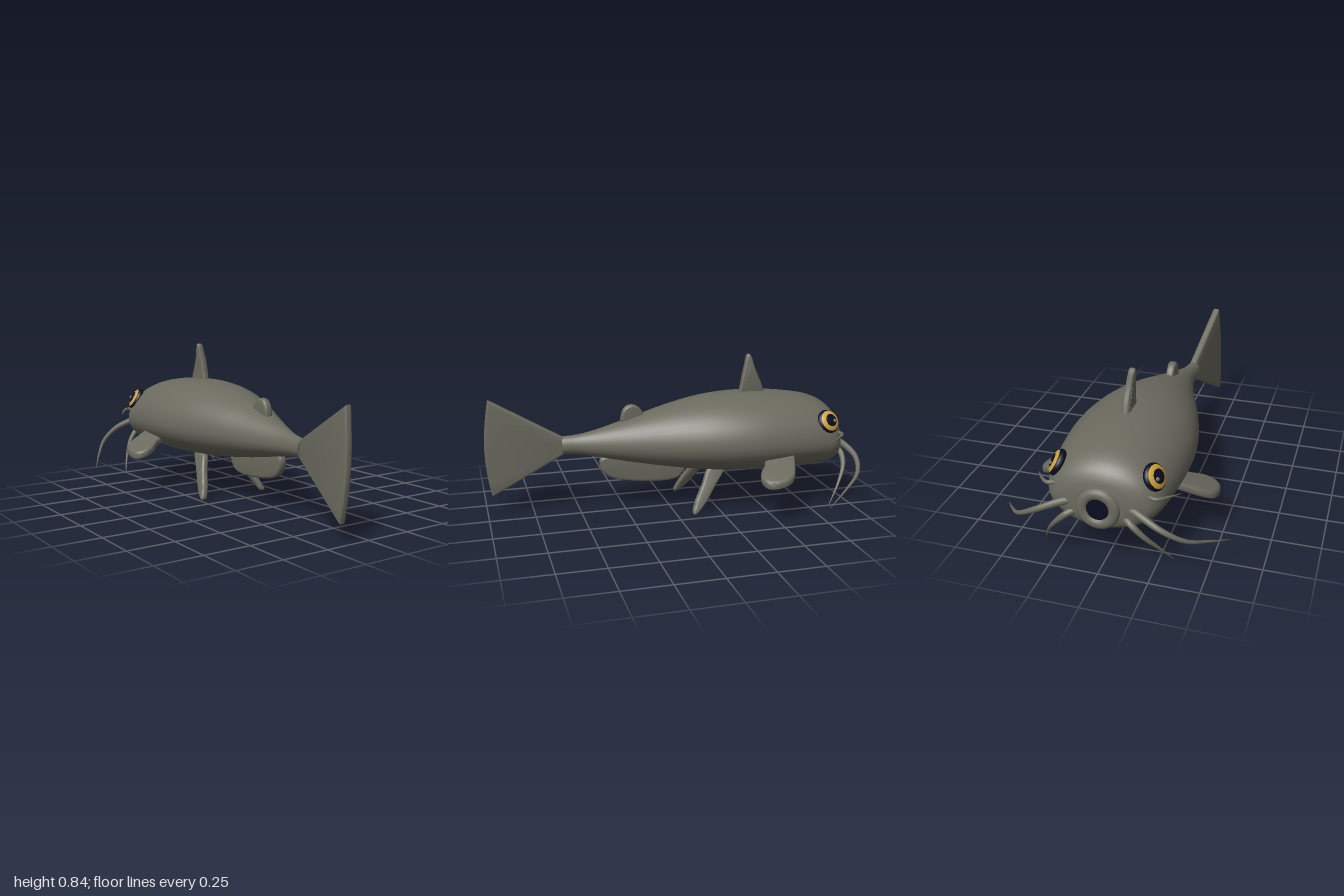
import * as THREE from 'three';
import { toCreasedNormals } from 'three/addons/utils/BufferGeometryUtils.js';

const skin = new THREE.MeshStandardMaterial({ name: 'skin', color: 0x6b6a5f });
const gold = new THREE.MeshStandardMaterial({ name: 'iris gold', color: 0xcba23a });
const dark = new THREE.MeshStandardMaterial({ name: 'pupil dark', color: 0x0c0c22 });

function part(name, geometry, material = skin) {
  const mesh = new THREE.Mesh(geometry, material);
  mesh.name = name;
  return mesh;
}

// Move every vertex of a geometry by a rule
function warp(geometry, rule) {
  const p = geometry.attributes.position, v = new THREE.Vector3();
  for (let i = 0; i < p.count; i++) {
    rule(v.fromBufferAttribute(p, i), i);
    p.setXYZ(i, v.x, v.y, v.z);
  }
  return geometry;
}

// Rounded slab cut to an outline; 'side' lies in the z-y plane, 'flat' in x-z
function fin(name, outline, { plane = 'side', smooth = true, thick = 0.04, rule }) {
  let pts = outline.map(([a, b]) => new THREE.Vector3(a, b, 0));
  if (smooth) pts = new THREE.CatmullRomCurve3(pts, true).getPoints(36).slice(0, -1);
  const bevel = thick * 0.3;
  const g = new THREE.ExtrudeGeometry(new THREE.Shape(pts.map(p => new THREE.Vector2(p.x, p.y))), {
    depth: thick - 2 * bevel, bevelEnabled: true, bevelThickness: bevel,
    bevelSize: bevel, bevelOffset: -bevel, bevelSegments: 3,
  });
  g.translate(0, 0, bevel - thick / 2);
  if (plane === 'side') g.rotateY(-Math.PI / 2);
  else g.rotateX(Math.PI / 2);
  return part(name, toCreasedNormals(warp(g, rule), 0.7));
}

// Body lofted through [z, centre x, half width, top, bottom]
function bodyGeometry() {
  const stations = [
    [-0.962, 0, 0.13, 0.46, 0.285], [-0.95, 0, 0.185, 0.505, 0.257], [-0.925, 0, 0.24, 0.545, 0.235],
    [-0.88, 0, 0.277, 0.58, 0.22], [-0.8, 0, 0.298, 0.61, 0.213], [-0.6, -0.002, 0.321, 0.64, 0.21],
    [-0.4, -0.003, 0.322, 0.647, 0.213], [-0.2, -0.006, 0.287, 0.632, 0.224], [0, -0.013, 0.222, 0.59, 0.248],
    [0.2, -0.026, 0.142, 0.53, 0.28], [0.4, -0.042, 0.07, 0.47, 0.318],
    [0.5, -0.054, 0.047, 0.447, 0.335], [0.59, -0.066, 0.04, 0.438, 0.342],
  ];
  const along = new THREE.CatmullRomCurve3(stations.map(s => new THREE.Vector3(s[0], s[1], s[2])));
  const height = new THREE.CatmullRomCurve3(stations.map(s => new THREE.Vector3(s[0], s[3], s[4])));
  const rings = 60, sides = 40, pos = [], idx = [];
  const addRing = t => {
    const a = along.getPoint(t), h = height.getPoint(t);
    const cy = h.z + 0.44 * (h.y - h.z);
    for (let j = 0; j < sides; j++) {
      const u = j / sides * Math.PI * 2, s = Math.sin(u);
      pos.push(a.y + a.z * Math.cos(u), cy + s * (s > 0 ? h.y - cy : cy - h.z), a.x);
    }
    return [a.y, cy, a.x];
  };
  for (let i = 0; i <= rings; i++) addRing(i / rings);
  for (let i = 0; i < rings; i++) for (let j = 0; j < sides; j++) {
    const a = i * sides + j, b = i * sides + (j + 1) % sides;
    idx.push(a, b, a + sides, b, b + sides, a + sides);
  }
  // Flat caps at the snout and tail root
  for (const end of [0, 1]) {
    const start = pos.length / 3;
    pos.push(...addRing(end));
    for (let j = 0; j < sides; j++) {
      const a = start + j, b = start + (j + 1) % sides, c = start + sides;
      idx.push(...(end ? [a, b, c] : [b, a, c]));
    }
  }
  const g = new THREE.BufferGeometry();
  g.setAttribute('position', new THREE.Float32BufferAttribute(pos, 3));
  g.setIndex(idx);
  g.computeVertexNormals();
  return g;
}

// Tube that thins to a point
function whisker(name, points, radius) {
  const curve = new THREE.CatmullRomCurve3(points.map(p => new THREE.Vector3(...p)));
  const n = 28, sides = 10;
  const g = new THREE.TubeGeometry(curve, n, radius, sides);
  return part(name, warp(g, (v, i) => {
    const t = Math.floor(i / (sides + 1)) / n, c = curve.getPointAt(t);
    v.sub(c).multiplyScalar(1 - 0.93 * t).add(c);
  }));
}

// Flattened dome split into pupil, iris and rim bands
function eye(name, s) {
  const group = new THREE.Group();
  group.name = name;
  const band = (label, from, to, material) => group.add(part(label,
    new THREE.SphereGeometry(0.068, 32, 8, 0, Math.PI * 2, from, to - from).scale(1, 0.5, 1), material));
  band('pupil', 0, 0.55, dark);
  band('iris', 0.55, 1.02, gold);
  band('eyeRim', 1.02, Math.PI, dark);
  const glint = part('glint', new THREE.SphereGeometry(0.011, 10, 8));
  glint.position.set(0, 0.03, -0.02);
  group.add(glint);
  group.position.set(s * 0.238, 0.5, -0.845);
  group.quaternion.setFromUnitVectors(new THREE.Vector3(0, 1, 0),
    new THREE.Vector3(s * 0.82, 0.48, -0.28).normalize());
  return group;
}

export function createModel() {
  const model = new THREE.Group();
  model.name = 'catfish';
  model.add(part('body', bodyGeometry()));

  // Mouth
  const lips = part('lips', new THREE.TorusGeometry(0.079, 0.029, 14, 36).scale(1, 1, 0.8));
  lips.position.set(0, 0.357, -0.96);
  const mouth = part('mouth', new THREE.CircleGeometry(0.062, 32).rotateY(Math.PI), dark);
  mouth.position.set(0, 0.357, -0.972);
  model.add(lips, mouth);

  // Tail fan, swept to one side
  model.add(fin('tailFin', [[0.57, 0.345], [0.97, 0.105], [0.988, 0.2], [0.998, 0.3], [1, 0.38],
    [0.996, 0.47], [0.985, 0.56], [0.97, 0.655], [0.57, 0.43]], {
    smooth: false, thick: 0.042,
    rule: v => { v.x += -0.064 - 0.16 * (v.z - 0.57) + 0.045 * (v.y - 0.38); },
  }));

  // Fins on the midline
  model.add(fin('dorsalFin', [[-0.41, 0.6], [-0.417, 0.7], [-0.437, 0.79], [-0.455, 0.85], [-0.47, 0.852],
    [-0.5, 0.77], [-0.545, 0.66], [-0.555, 0.6]], {
    thick: 0.036, rule: v => { v.x += -0.004 + 0.008 * Math.sin((v.y - 0.6) * 12) - 0.055 * Math.max(0, v.y - 0.64); },
  }));
  model.add(fin('adiposeFin', [[0.26, 0.49], [0.258, 0.56], [0.235, 0.592], [0.195, 0.6], [0.16, 0.58],
    [0.135, 0.54], [0.13, 0.49]], {
    thick: 0.045, rule: v => { v.x += -0.035; },
  }));
  model.add(fin('analFin', [[0.38, 0.31], [0.383, 0.255], [0.345, 0.205], [0.26, 0.175], [0.13, 0.158], [0.0, 0.155],
    [-0.065, 0.175], [-0.1, 0.24], [0.0, 0.29], [0.2, 0.32]], {
    thick: 0.044, rule: v => { v.x += -0.022 - 0.03 * v.z; },
  }));

  for (const s of [1, -1]) {
    const side = s > 0 ? 'left' : 'right';
    // Paired fins, sloping outwards
    model.add(fin(side + 'PectoralFin', [[0.25, -0.63], [0.33, -0.615], [0.45, -0.56], [0.472, -0.5],
      [0.46, -0.425], [0.42, -0.4], [0.37, -0.405], [0.31, -0.45], [0.25, -0.48]].map(([x, z]) => [x * s, z]), {
      plane: 'flat', thick: 0.046,
      rule: v => { v.y += 0.302 - 0.36 * (Math.abs(v.x) - 0.3) - 0.16 * (v.z + 0.5); },
    }));
    model.add(fin(side + 'PelvicFin', [[-0.21, 0.25], [-0.155, 0.155], [-0.105, 0.07], [-0.088, 0.015],
      [-0.103, 0.012], [-0.16, 0.06], [-0.23, 0.15], [-0.3, 0.25]], {
      thick: 0.038, rule: v => { v.x += s > 0 ? 0.187 - 0.41 * v.y : -0.227 + 0.36 * v.y; },
    }));

    // Whiskers
    const at = pts => pts.map(([x, y, z]) => [x * s, y, z]);
    model.add(whisker(side + 'LongWhisker', at([[0.13, 0.37, -0.93], [0.2, 0.355, -0.96], [0.31, 0.31, -0.985],
      [0.41, 0.25, -0.95], [0.5, 0.19, -0.84], [0.58, 0.13, -0.715]]), 0.021));
    model.add(whisker(side + 'ChinWhisker', at([[0.11, 0.32, -0.93], [0.16, 0.3, -0.965], [0.22, 0.24, -0.96],
      [0.28, 0.15, -0.905], [0.33, 0.045, -0.83]]), 0.02));
    model.add(whisker(side + 'NoseWhisker', at([[0.21, 0.43, -0.9], [0.265, 0.43, -0.92],
      [0.31, 0.425, -0.88], [0.355, 0.41, -0.81]]), 0.014));
    model.add(eye(side + 'Eye', s));
  }
  return model;
}
